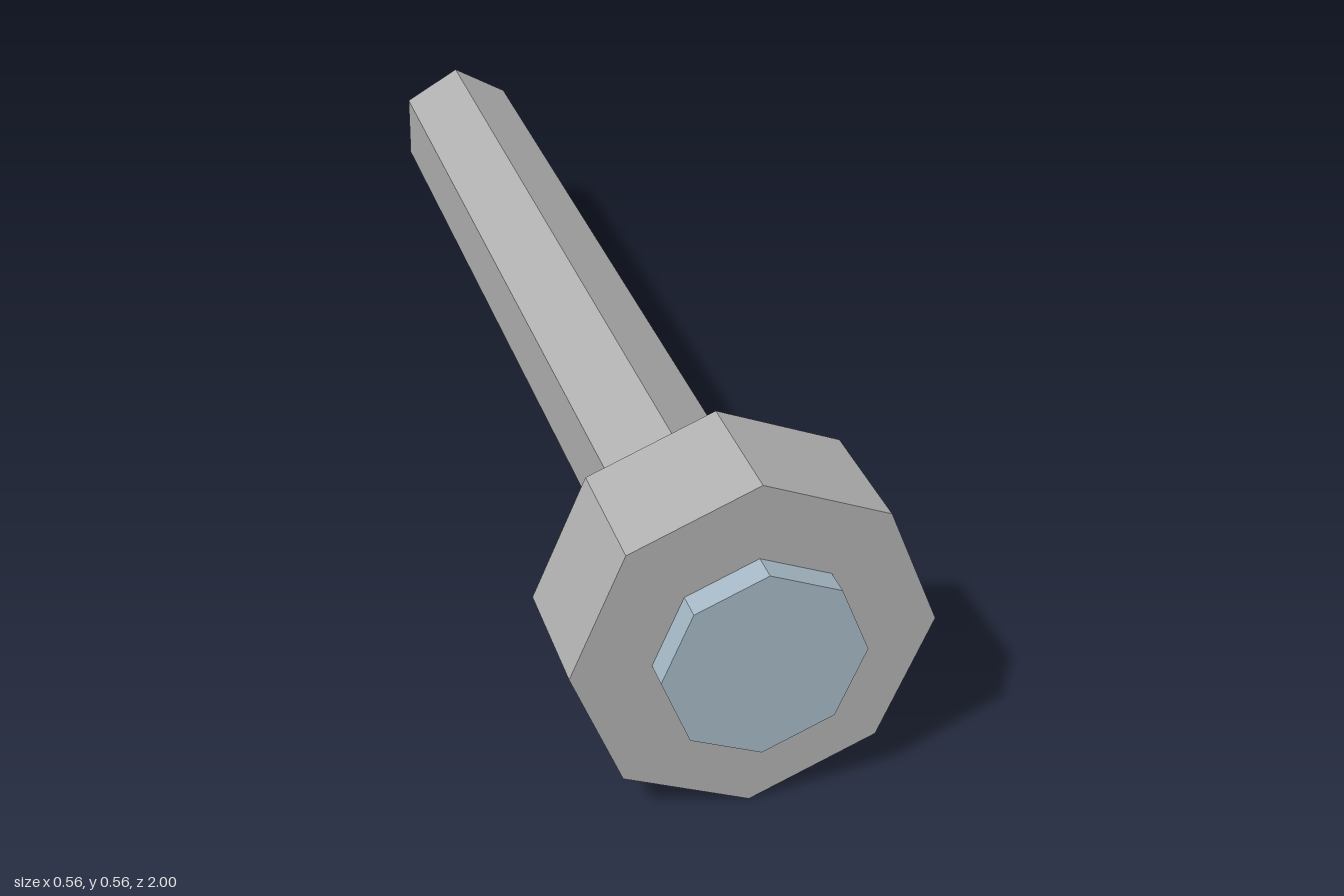
import * as THREE from 'three';

// Faceted prism along z, with a corner pointing straight up
function prism(name, radius, sides, zBack, zFront, material) {
  const length = zFront - zBack;
  const geometry = new THREE.CylinderGeometry(radius, radius, length, sides);
  geometry.rotateX(Math.PI / 2);
  const mesh = new THREE.Mesh(geometry, material);
  mesh.name = name;
  mesh.position.set(0, 0.28, (zBack + zFront) / 2);
  return mesh;
}

export function createModel() {
  const metal = new THREE.MeshStandardMaterial({ color: 0xb0b0b0 });
  metal.name = 'grey metal';
  metal.flatShading = true;
  const glass = new THREE.MeshStandardMaterial({ color: 0xa5b8c5 });
  glass.name = 'pale blue glass';
  glass.flatShading = true;

  const model = new THREE.Group();
  model.name = 'flashlight';
  model.add(
    prism('handle', 0.12, 6, -1, 0.75, metal), // hexagonal grip
    prism('head', 0.28, 8, 0.747, 0.956, metal), // octagonal head
    prism('lens', 0.157, 8, 0.95, 1, glass) // raised lens
  );
  return model;
}
